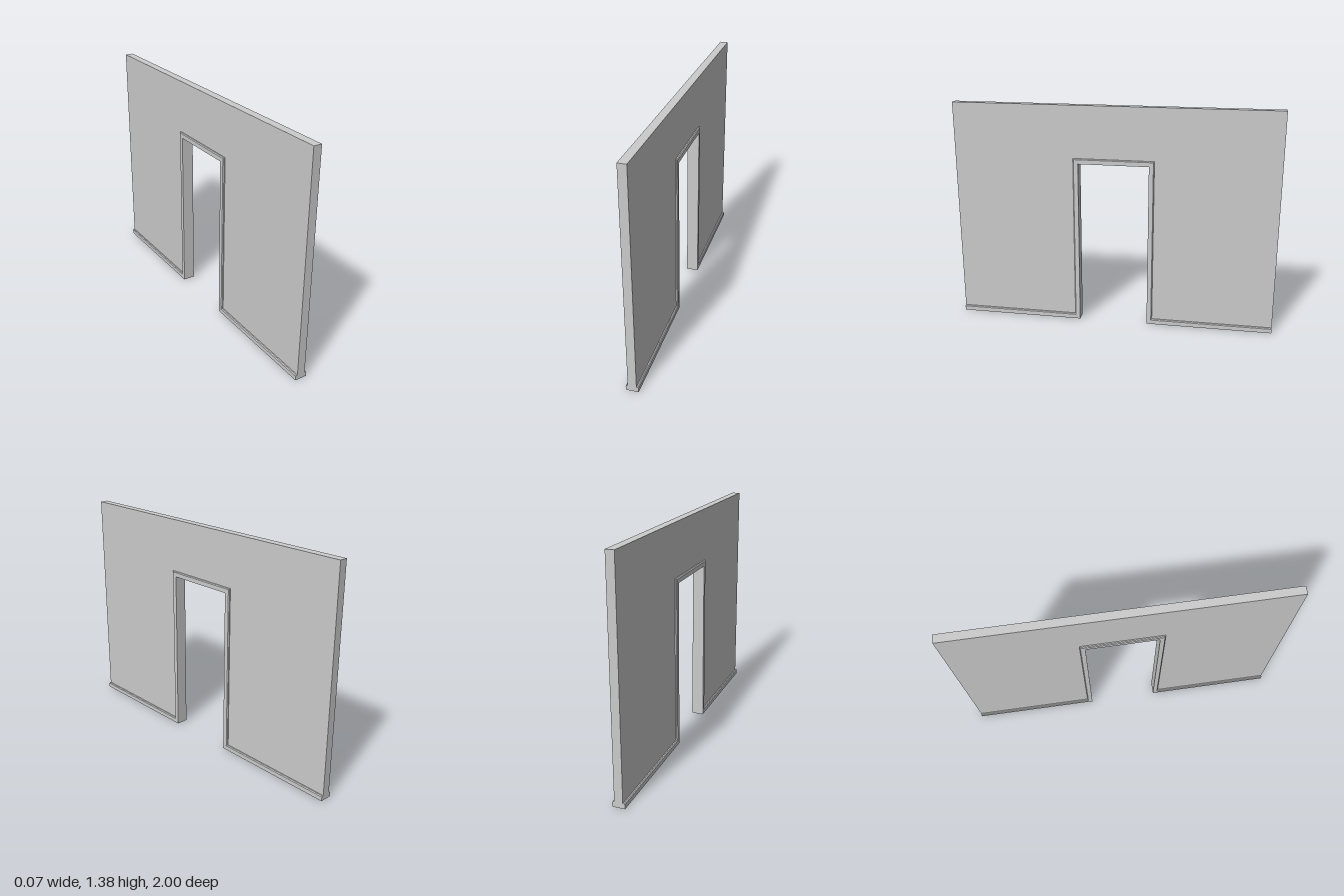
import * as THREE from 'three';

const HALF = 1, TOP = 1.385, DOOR = 0.217, DOOR_TOP = 1.03;
const WALL = 0.025, FACE = 0.037, TRIM = 0.032, BEVEL = 0.005;
const GROOVE = 0.012, GROOVE_H = 0.02;

const material = new THREE.MeshStandardMaterial({ color: 0xcccccc, flatShading: true });

// Wall slab between x0 and x1; optionally with a recess under each leg
function wallLayer(x0, x1, recessed) {
  const leg = recessed
    ? [[HALF, 0], [0.97, 0], [0.97, GROOVE_H], [0.25, GROOVE_H], [0.25, 0], [DOOR, 0]]
    : [[HALF, 0], [DOOR, 0]];
  const half = [[HALF, TOP], ...leg, [DOOR, DOOR_TOP]];
  const mirrored = half.map(([z, y]) => [-z, y]).reverse();
  const shape = new THREE.Shape([...half, ...mirrored].map(([z, y]) => new THREE.Vector2(z, y)));
  const geo = new THREE.ExtrudeGeometry(shape, { depth: x1 - x0, bevelEnabled: false });
  geo.rotateY(-Math.PI / 2).translate(x1, 0, 0);
  return new THREE.Mesh(geo, material);
}

// Trim profile swept along the floor and around the doorway with mitred corners
function trimGeometry(side) {
  // distance from the inner edge, distance from the wall centre
  const profile = [[0, WALL], [0, FACE], [TRIM - BEVEL, FACE], [TRIM, FACE - BEVEL], [TRIM, WALL]];
  // z, y of the inner edge, then the mitre direction
  const path = [
    [-HALF, 0, 0, 1], [-DOOR, 0, -1, 1], [-DOOR, DOOR_TOP, -1, 1],
    [DOOR, DOOR_TOP, 1, 1], [DOOR, 0, 1, 1], [HALF, 0, 0, 1],
  ];
  const rings = path.map(([z, y, mz, my]) =>
    profile.map(([d, x]) => [side * x, y + my * d, z + mz * d]));
  const pos = [];
  const tri = (a, b, c) => pos.push(...a, ...(side > 0 ? [...b, ...c] : [...c, ...b]));
  for (let i = 0; i < rings.length - 1; i++) {
    for (let j = 0; j < profile.length - 1; j++) {
      const a = rings[i][j], b = rings[i][j + 1], c = rings[i + 1][j + 1], d = rings[i + 1][j];
      tri(a, b, c);
      tri(a, c, d);
    }
  }
  // end caps
  const first = rings[0], last = rings[rings.length - 1];
  for (let j = 1; j < profile.length - 1; j++) {
    tri(first[0], first[j + 1], first[j]);
    tri(last[0], last[j], last[j + 1]);
  }
  const geo = new THREE.BufferGeometry();
  geo.setAttribute('position', new THREE.Float32BufferAttribute(pos, 3));
  geo.computeVertexNormals();
  return geo;
}

export function createModel() {
  const model = new THREE.Group();
  model.name = 'doorwayWall';

  const wall = new THREE.Group();
  wall.name = 'wall';
  const layers = [
    ['rightSkin', -WALL, -GROOVE, false],
    ['grooveCore', -GROOVE, GROOVE, true],
    ['leftSkin', GROOVE, WALL, false],
  ];
  for (const [name, x0, x1, recessed] of layers) {
    const layer = wallLayer(x0, x1, recessed);
    layer.name = name;
    wall.add(layer);
  }
  model.add(wall);

  // Baseboard and door casing on both faces
  for (const side of [1, -1]) {
    const trim = new THREE.Mesh(trimGeometry(side), material);
    trim.name = side > 0 ? 'leftTrim' : 'rightTrim';
    model.add(trim);
  }
  return model;
}
